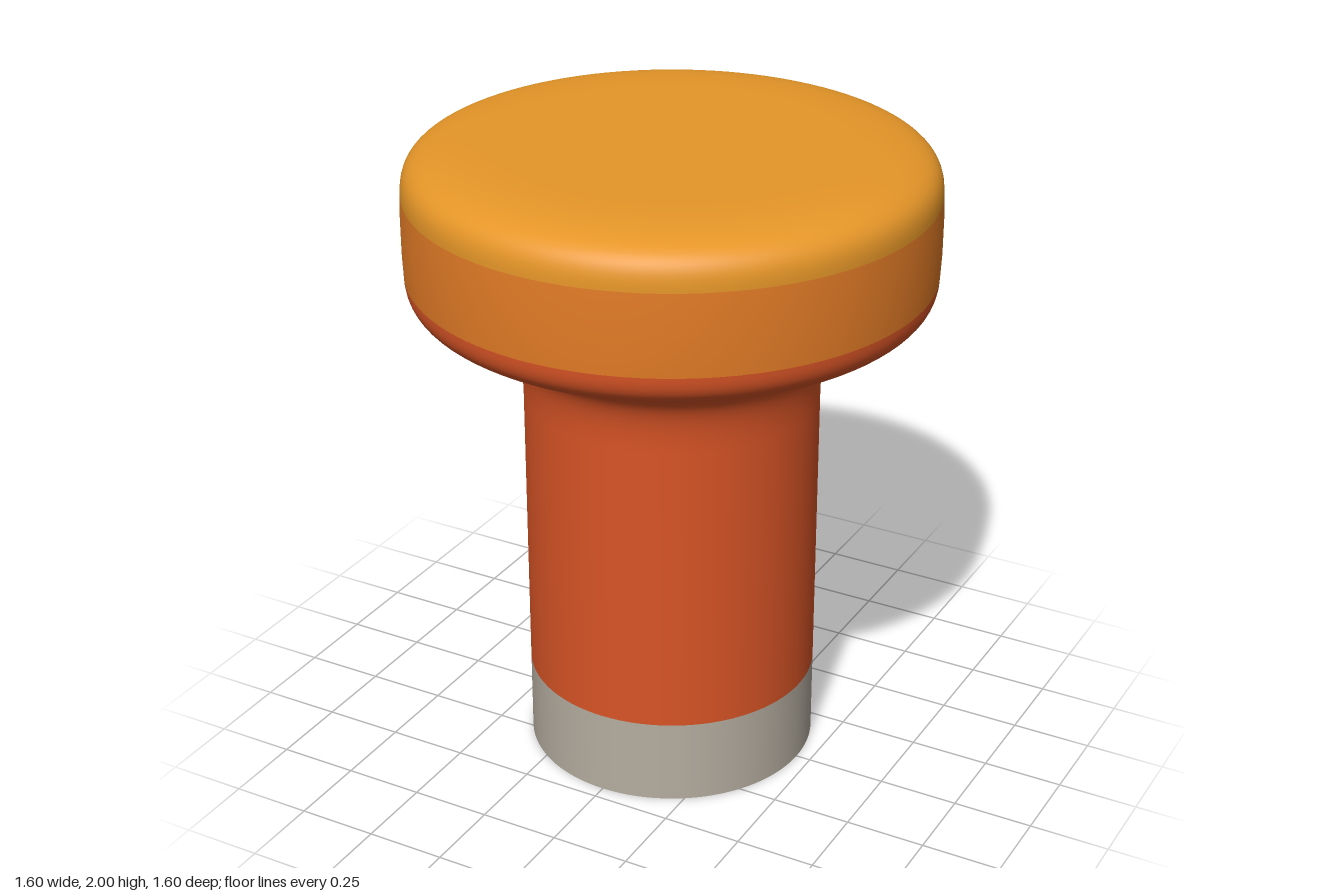
import * as THREE from 'three';

const SEGMENTS = 96;
const v = (x, y) => new THREE.Vector2(x, y);

function material(name, color) {
  const m = new THREE.MeshStandardMaterial({ color });
  m.name = name;
  return m;
}

// Sample a cubic profile curve from four [radius, height] pairs
function curve(a, b, c, d, n = 16) {
  return new THREE.CubicBezierCurve(v(...a), v(...b), v(...c), v(...d)).getPoints(n);
}

export function createModel() {
  const group = new THREE.Group();
  const add = (name, geometry, mat) => {
    const mesh = new THREE.Mesh(geometry, mat);
    mesh.name = name;
    group.add(mesh);
  };
  const lathe = (points) => new THREE.LatheGeometry(points, SEGMENTS);

  const R = 0.453, HEAD = 0.797;

  // Grey foot with a closed underside
  const foot = new THREE.CylinderGeometry(R, R, 0.27, SEGMENTS);
  foot.translate(0, 0.135, 0);
  add('foot', foot, material('warm grey', 0xb5ada0));

  // Straight stem flaring into the rounded underside of the head
  add('stem', lathe([
    v(R, 0.27), v(R, 0.8),
    ...curve([R, 1.2], [R, 1.4], [0.51, 1.4], [0.647, 1.465]),
    ...curve([0.647, 1.465], [0.75, 1.513], [0.795, 1.53], [HEAD, 1.61]).slice(1),
  ]), material('red orange', 0xd85426));

  // Band around the head
  add('headBand', lathe([v(HEAD, 1.61), v(0.8, 1.68), v(0.8, 1.79), v(HEAD, 1.86)]),
    material('orange', 0xe27b26));

  // Rounded cap with a flat top
  add('cap', lathe([
    ...curve([HEAD, 1.86], [HEAD, 1.965], [0.75, 2], [0.45, 2], 24),
    v(0.2, 2), v(0, 2),
  ]), material('amber', 0xe69628));

  return group;
}
